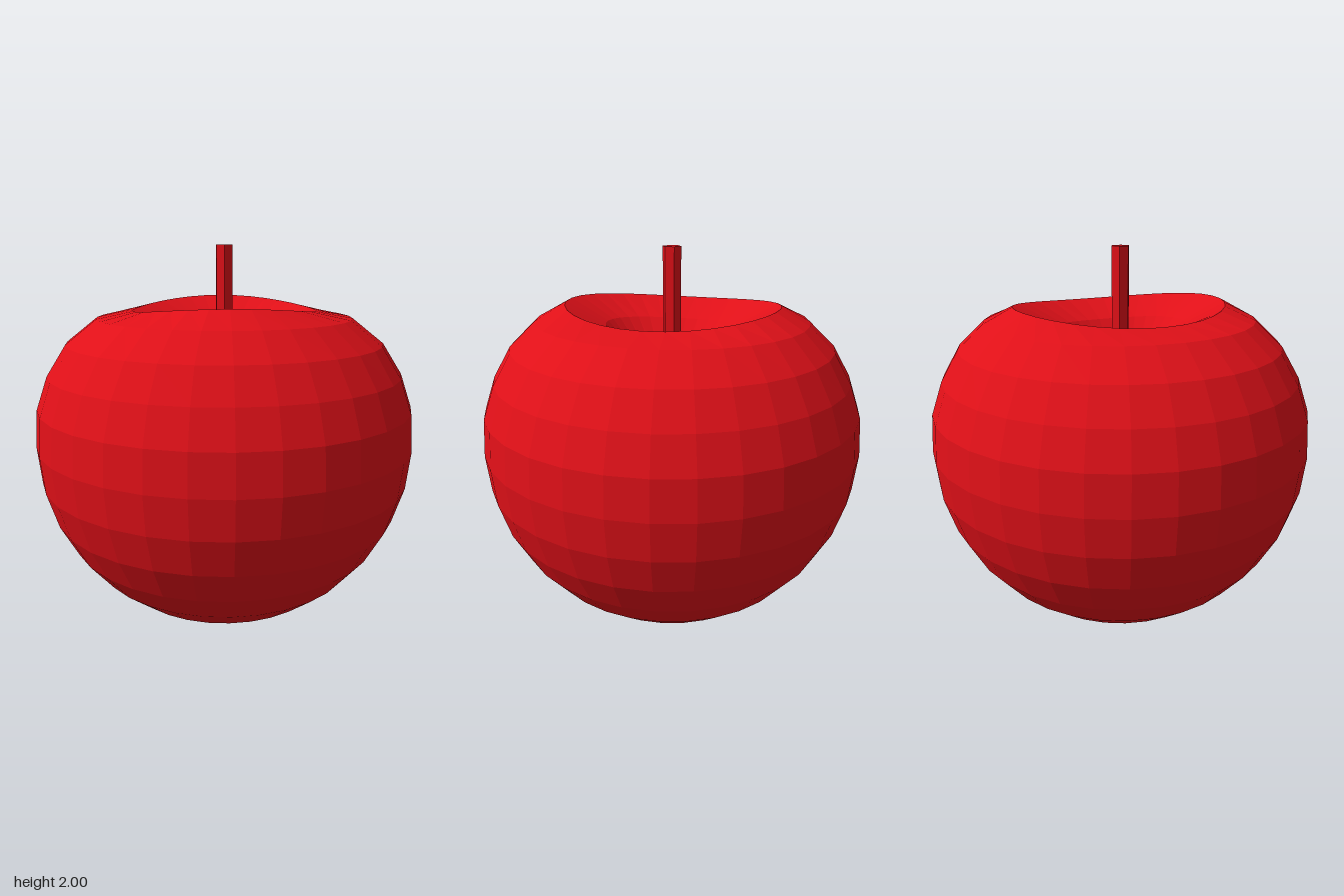
import * as THREE from 'three';

const R = 0.995;
const RINGS = 16;
const SEGMENTS = 32;

// Upper rings, from shoulder to bottom of the dimple:
// [radius along x, radius along z, height on x axis, height on z axis]
const TOP_RINGS = [
  [0.98, 0.98, 1.19, 1.19],
  [0.92, 0.92, 1.36, 1.36],
  [0.82, 0.83, 1.515, 1.515],
  [0.66, 0.70, 1.64, 1.64],
  [0.475, 0.555, 1.675, 1.72],
  [0.27, 0.35, 1.59, 1.61],
  [0.095, 0.16, 1.39, 1.40],
  [0, 0, 1.29, 1.29],
];

function fruitGeometry() {
  // Lower half is a plain sphere profile; upper rings are shaped below
  const profile = [];
  for (let i = 0; i <= RINGS; i++) {
    const a = (i / RINGS) * Math.PI;
    profile.push(new THREE.Vector2(i % RINGS ? R * Math.sin(a) : 0, R - R * Math.cos(a)));
  }
  const geometry = new THREE.LatheGeometry(profile, SEGMENTS);
  const pos = geometry.attributes.position;
  const perColumn = RINGS + 1;
  for (let v = 0; v < pos.count; v++) {
    const ring = (v % perColumn) - RINGS / 2 - 1;
    if (ring < 0) continue;
    const [rx, rz, yx, yz] = TOP_RINGS[ring];
    const phi = (Math.floor(v / perColumn) / SEGMENTS) * Math.PI * 2;
    const s = Math.sin(phi), c = Math.cos(phi);
    pos.setXYZ(v, rx * s, yx + (yz - yx) * c * c, rz * c);
  }
  geometry.computeVertexNormals();
  return geometry;
}

export function createModel() {
  const model = new THREE.Group();
  model.name = 'apple';
  const red = new THREE.MeshStandardMaterial({ color: 0xe01018, flatShading: true });

  // Body with the dimple sunk into its top
  const fruit = new THREE.Mesh(fruitGeometry(), red);
  fruit.name = 'fruit';
  model.add(fruit);

  // Six-sided stem rising out of the dimple
  const bottom = 1.2, top = 2;
  const stem = new THREE.Mesh(new THREE.CylinderGeometry(0.048, 0.048, top - bottom, 6), red);
  stem.name = 'stem';
  stem.position.y = (top + bottom) / 2;
  model.add(stem);

  return model;
}
